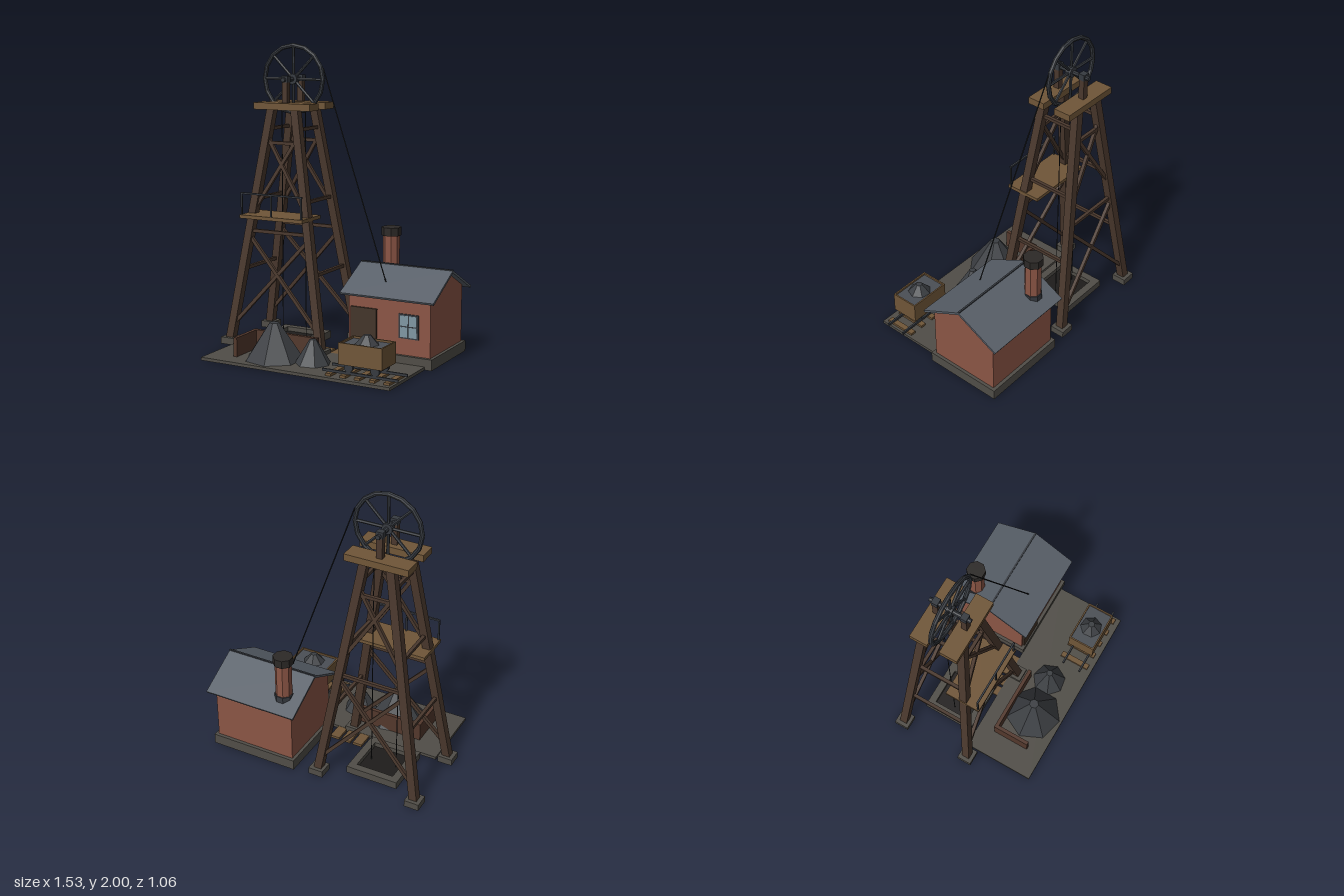
import * as THREE from 'three';

const mat = color => new THREE.MeshStandardMaterial({ color, flatShading: true });
const M = {
  timber: mat(0x4a382d), plank: mat(0x705638), brick: mat(0x8b5545), roof: mat(0x596069),
  stone: mat(0x504d47), iron: mat(0x363a40), coal: mat(0x3c3f43), dark: mat(0x1e1c1b),
  cap: mat(0x2c2927), door: mat(0x43352a), glass: mat(0x8097a3), fence: mat(0x53382c),
  rope: mat(0x1c1e20), load: mat(0x4b4f55),
};

function add(parent, name, geo, material, x = 0, y = 0, z = 0) {
  const m = new THREE.Mesh(geo, material);
  m.name = name;
  m.position.set(x, y, z);
  parent.add(m);
  return m;
}

// Box given by its extents along each axis
function box(parent, name, material, [x0, x1], [y0, y1], [z0, z1]) {
  return add(parent, name, new THREE.BoxGeometry(x1 - x0, y1 - y0, z1 - z0), material,
    (x0 + x1) / 2, (y0 + y1) / 2, (z0 + z1) / 2);
}

// Place a unit-high geometry so that its y axis runs from a to b
function span(parent, name, geo, material, a, b) {
  const A = new THREE.Vector3(...a), B = new THREE.Vector3(...b);
  geo.scale(1, A.distanceTo(B), 1);
  const m = add(parent, name, geo, material);
  m.position.copy(A).add(B).multiplyScalar(0.5);
  m.quaternion.setFromUnitVectors(new THREE.Vector3(0, 1, 0), B.sub(A).normalize());
  return m;
}
const beam = (parent, name, material, a, b, w) =>
  span(parent, name, new THREE.BoxGeometry(w, 1, w), material, a, b);
const rod = (parent, name, material, a, b, r, sides = 6) =>
  span(parent, name, new THREE.CylinderGeometry(r, r, 1, sides), material, a, b);

function group(parent, name, x = 0, y = 0, z = 0) {
  const g = new THREE.Group();
  g.name = name;
  g.position.set(x, y, z);
  parent.add(g);
  return g;
}

function headframe(root) {
  const g = group(root, 'headframe', -0.37, 0, -0.178);
  // Half spread of the legs at height y
  const hx = y => 0.345 - 0.255 * (y - 0.03) / 1.54;
  const hz = y => 0.254 - 0.129 * (y - 0.03) / 1.54;
  for (const sx of [-1, 1]) for (const sz of [-1, 1]) {
    const p = y => [sx * hx(y), y, sz * hz(y)];
    beam(g, 'leg', M.timber, p(0.03), p(1.58), 0.053);
    box(g, 'footing', M.stone, [sx * 0.345 - 0.05, sx * 0.345 + 0.05], [0, 0.045],
      [sz * 0.254 - 0.05, sz * 0.254 + 0.05]);
  }
  for (const s of [-1, 1]) {
    // Bracing
    for (const y of [0.77, 1.355])
      beam(g, 'crossGirt', M.timber, [-hx(y), y, s * hz(y)], [hx(y), y, s * hz(y)], 0.022);
    for (const [y0, y1] of [[0.13, 0.74], [0.9, 1.4]]) for (const d of [-1, 1])
      beam(g, 'diagonalBrace', M.timber, [-d * hx(y0), y0, s * hz(y0)],
        [d * hx(y1), y1, s * hz(y1)], 0.023);
    for (const y of [0.51, 0.98, 1.445])
      beam(g, 'sideGirt', M.timber, [s * hx(y), y, -hz(y)], [s * hx(y), y, hz(y)], 0.022);
    // Cap beams with the wheel bearings
    box(g, 'capBeam', M.plank, [-0.212, 0.212], [1.57, 1.615], [s * 0.101 - 0.06, s * 0.101 + 0.06]);
    box(g, 'bearingPost', M.timber, [-0.02, 0.02], [1.615, 1.755], [s * 0.097 - 0.019, s * 0.097 + 0.019]);
    box(g, 'bearing', M.iron, [-0.023, 0.023], [1.748, 1.79], [s * 0.097 - 0.021, s * 0.097 + 0.021]);
    rod(g, 'shaftRope', M.rope, [s * 0.09, 1.56, 0], [s * 0.09, 0.02, 0], 0.003);
  }
  // Working platform with railing
  box(g, 'platform', M.plank, [-0.236, 0.236], [0.865, 0.888], [0.06, 0.303]);
  for (const x of [-0.225, 0, 0.225])
    box(g, 'railPost', M.iron, [x - 0.005, x + 0.005], [0.888, 1.03], [0.287, 0.297]);
  box(g, 'handrail', M.iron, [-0.23, 0.23], [1.025, 1.036], [0.286, 0.298]);

  // Winding wheel
  const w = group(g, 'windingWheel', 0, 1.765, 0);
  add(w, 'rim', new THREE.TorusGeometry(0.22, 0.015, 8, 16), M.iron);
  for (let i = 0; i < 8; i++) {
    const a = i * Math.PI / 4;
    rod(w, 'spoke', M.iron, [0, 0, 0], [0.215 * Math.cos(a), 0.215 * Math.sin(a), 0], 0.01);
  }
  rod(w, 'hub', M.iron, [0, 0, -0.02], [0, 0, 0.02], 0.035, 10);
  rod(w, 'axle', M.iron, [0, 0, -0.14], [0, 0, 0.14], 0.015, 8);

  // Shaft collar
  for (const s of [-1, 1]) {
    const e = s < 0 ? [-0.18, -0.13] : [0.13, 0.18];
    box(g, 'collarSide', M.stone, e, [0, 0.05], [-0.18, 0.18]);
    box(g, 'collarEnd', M.stone, [-0.13, 0.13], [0, 0.05], e);
  }
  box(g, 'shaftMouth', M.dark, [-0.13, 0.13], [0.005, 0.02], [-0.13, 0.13]);
}

// Outline in the gable plane pulled along x
function gableSolid(parent, name, material, points, length) {
  const geo = new THREE.ExtrudeGeometry(
    new THREE.Shape(points.map(p => new THREE.Vector2(...p))), { depth: length, bevelEnabled: false });
  geo.translate(0, 0, -length / 2).rotateY(Math.PI / 2);
  return add(parent, name, geo, material);
}

function engineHouse(root) {
  const g = group(root, 'engineHouse', 0.435, 0, -0.231);
  box(g, 'base', M.stone, [-0.306, 0.306], [0, 0.07], [-0.268, 0.268]);
  gableSolid(g, 'walls', M.brick,
    [[-0.245, 0.07], [0.245, 0.07], [0.245, 0.447], [0, 0.573], [-0.245, 0.447]], 0.57);
  gableSolid(g, 'roof', M.roof,
    [[-0.292, 0.422], [0, 0.573], [0.292, 0.422], [0.299, 0.435], [0, 0.589], [-0.299, 0.435]], 0.652);
  box(g, 'ridgeCap', M.iron, [-0.326, 0.326], [0.582, 0.593], [-0.006, 0.006]);
  // Door and window
  box(g, 'door', M.door, [-0.269, -0.084], [0.07, 0.345], [0.24, 0.259]);
  box(g, 'windowFrame', M.iron, [0.07, 0.207], [0.178, 0.335], [0.24, 0.253]);
  for (const x of [0.108, 0.169]) for (const y of [0.22, 0.293])
    box(g, 'pane', M.glass, [x - 0.027, x + 0.027], [y - 0.033, y + 0.033], [0.245, 0.256]);
  // Chimney
  const c = group(g, 'chimney', -0.19, 0, -0.168);
  const ring = (name, m, r, y0, y1) => {
    add(c, name, new THREE.CylinderGeometry(r, r, y1 - y0, 8), m, 0, (y0 + y1) / 2, 0).rotation.y = Math.PI / 8;
  };
  ring('flue', M.brick, 0.055, 0.4, 0.75);
  ring('flashing', M.iron, 0.062, 0.44, 0.515);
  ring('chimneyCap', M.cap, 0.066, 0.745, 0.8);
}

// Seven-sided heap
function pile(parent, name, x, y, z, r, top, h, turn) {
  add(parent, name, new THREE.CylinderGeometry(top, r, h, 7), M.coal, x, y + h / 2, z).rotation.y = turn;
}

function yard(root) {
  const g = group(root, 'yard');
  box(g, 'groundSlab', M.stone, [-0.648, 0.695], [0, 0.02], [0.035, 0.528]);
  for (let i = 0; i < 4; i++) {
    const x = -0.205 + i * 0.085;
    box(g, 'walkPlank', M.plank, [x - 0.033, x + 0.033], [0, 0.018], [-0.08, 0.035]);
  }
  box(g, 'backFence', M.fence, [-0.475, 0.005], [0.02, 0.145], [0.152, 0.177]);
  box(g, 'sideFence', M.fence, [-0.475, -0.45], [0.02, 0.145], [0.177, 0.412]);
  pile(g, 'largePile', -0.223, 0.02, 0.323, 0.192, 0.032, 0.235, 0.2);
  pile(g, 'smallPile', 0.046, 0.02, 0.298, 0.115, 0.022, 0.155, 0.61);
  // Track
  for (let i = 0; i < 5; i++) {
    const x = 0.262 + i * 0.099;
    box(g, 'sleeper', M.plank, [x - 0.019, x + 0.019], [0.02, 0.036], [0.283, 0.495]);
  }
  for (const z of [0.325, 0.455])
    box(g, 'rail', M.iron, [0.2, 0.715], [0.036, 0.052], [z - 0.006, z + 0.006]);
}

function oreCart(root) {
  const g = group(root, 'oreCart', 0.474, 0, 0.39);
  box(g, 'chassis', M.iron, [-0.12, 0.12], [0.08, 0.102], [-0.06, 0.06]);
  box(g, 'tubFloor', M.plank, [-0.147, 0.147], [0.1, 0.115], [-0.095, 0.095]);
  for (const s of [-1, 1]) {
    box(g, 'tubEnd', M.plank, s < 0 ? [-0.147, -0.137] : [0.137, 0.147], [0.115, 0.235], [-0.095, 0.095]);
    box(g, 'tubSide', M.plank, [-0.137, 0.137], [0.115, 0.235], s < 0 ? [-0.095, -0.085] : [0.085, 0.095]);
    rod(g, 'cartAxle', M.iron, [s * 0.09, 0.08, -0.07], [s * 0.09, 0.08, 0.07], 0.008);
    for (const z of [-0.065, 0.065])
      rod(g, 'cartWheel', M.iron, [s * 0.09, 0.08, z - 0.01], [s * 0.09, 0.08, z + 0.01], 0.03, 10);
  }
  box(g, 'loadBed', M.load, [-0.137, 0.137], [0.115, 0.222], [-0.085, 0.085]);
  pile(g, 'load', 0, 0.21, 0, 0.088, 0.022, 0.07, 0.76);
}

export function createModel() {
  const root = new THREE.Group();
  root.name = 'mineHeadframe';
  headframe(root);
  engineHouse(root);
  yard(root);
  oreCart(root);
  // Hoist rope from the wheel rim to the engine house roof
  rod(root, 'hoistRope', M.rope, [-0.147, 1.84, -0.178], [0.372, 0.505, -0.065], 0.004);
  return root;
}
